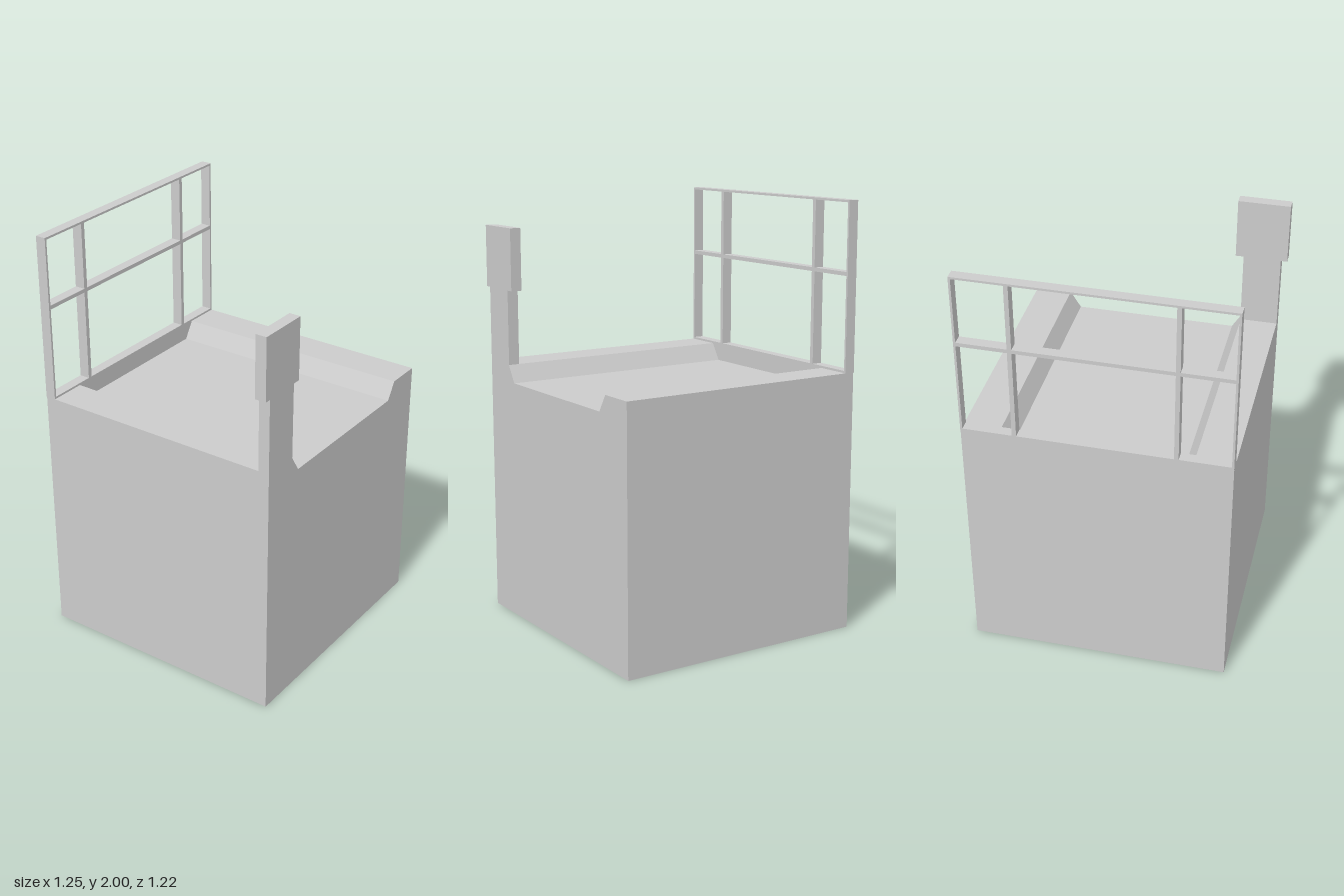
import * as THREE from 'three';

const material = new THREE.MeshStandardMaterial({ color: 0xcccccc, flatShading: true, side: THREE.DoubleSide });

// Main extents
const L = -0.595, R = 0.62, BACK = -0.607, FRONT = 0.61;
const TOP = 1.22, FLOOR = 1.14, LEDGE = -0.56;
// Cross-section of the deck with its sunken channel, left to right
const deckProfile = [[L, TOP], [-0.42, TOP], [-0.37, FLOOR], [0.4, FLOOR], [0.45, TOP], [R, TOP]];

function add(parent, name, geometry) {
  const mesh = new THREE.Mesh(geometry, material);
  mesh.name = name;
  parent.add(mesh);
  return mesh;
}

// Box given by its minimum and maximum corners
function box(parent, name, x0, x1, y0, y1, z0, z1) {
  add(parent, name, new THREE.BoxGeometry(x1 - x0, y1 - y0, z1 - z0))
    .position.set((x0 + x1) / 2, (y0 + y1) / 2, (z0 + z1) / 2);
}

// Flat four-cornered panel, corners counter-clockwise from outside
function quad(parent, name, a, b, c, d) {
  const g = new THREE.BufferGeometry();
  g.setAttribute('position', new THREE.Float32BufferAttribute([a, b, c, a, c, d].flat(), 3));
  g.computeVertexNormals();
  add(parent, name, g);
}

// Flat shape standing at depth z, facing the front
function upright(parent, name, points, z) {
  const shape = new THREE.Shape(points.map(([x, y]) => new THREE.Vector2(x, y)));
  add(parent, name, new THREE.ShapeGeometry(shape)).position.z = z;
}

export function createModel() {
  const model = new THREE.Group();
  model.name = 'platform';

  // Hollow body, open underneath
  const body = new THREE.Group();
  body.name = 'body';
  model.add(body);
  upright(body, 'frontWall', [[L, 0], [R, 0], ...[...deckProfile].reverse()], FRONT);
  quad(body, 'backWall', [R, 0, BACK], [L, 0, BACK], [L, TOP, BACK], [R, TOP, BACK]);
  quad(body, 'leftWall', [R, 0, FRONT], [R, 0, BACK], [R, TOP, BACK], [R, TOP, FRONT]);
  quad(body, 'rightWall', [L, 0, BACK], [L, 0, FRONT], [L, TOP, FRONT], [L, TOP, BACK]);

  // Deck strips along the channel, its end wall and the back ledge
  for (let i = 0; i < deckProfile.length - 1; i++) {
    const [p, q] = [deckProfile[i], deckProfile[i + 1]];
    quad(body, 'deckStrip', [...p, FRONT], [...q, FRONT], [...q, LEDGE], [...p, LEDGE]);
  }
  upright(body, 'channelEnd', deckProfile.slice(1, 5), LEDGE);
  quad(body, 'backLedge', [L, TOP, LEDGE], [R, TOP, LEDGE], [R, TOP, BACK], [L, TOP, BACK]);

  // Sign board on a flat post at the front right corner
  const sign = new THREE.Group();
  sign.name = 'sign';
  model.add(sign);
  box(sign, 'signPost', L, -0.418, TOP, 1.57, 0.557, FRONT);
  box(sign, 'signBoard', -0.625, -0.38, 1.57, 1.86, 0.557, FRONT);

  // Railing along the back edge
  const railing = new THREE.Group();
  railing.name = 'railing';
  model.add(railing);
  for (const [x0, x1] of [[L, -0.585], [-0.355, -0.335], [0.365, 0.385], [0.61, R]])
    box(railing, 'railPost', x0, x1, TOP, 2, -0.61, LEDGE);
  for (const [y0, y1] of [[TOP, 1.23], [1.662, 1.68], [1.99, 2]])
    box(railing, 'rail', L, R, y0, y1, -0.61, LEDGE);

  return model;
}
